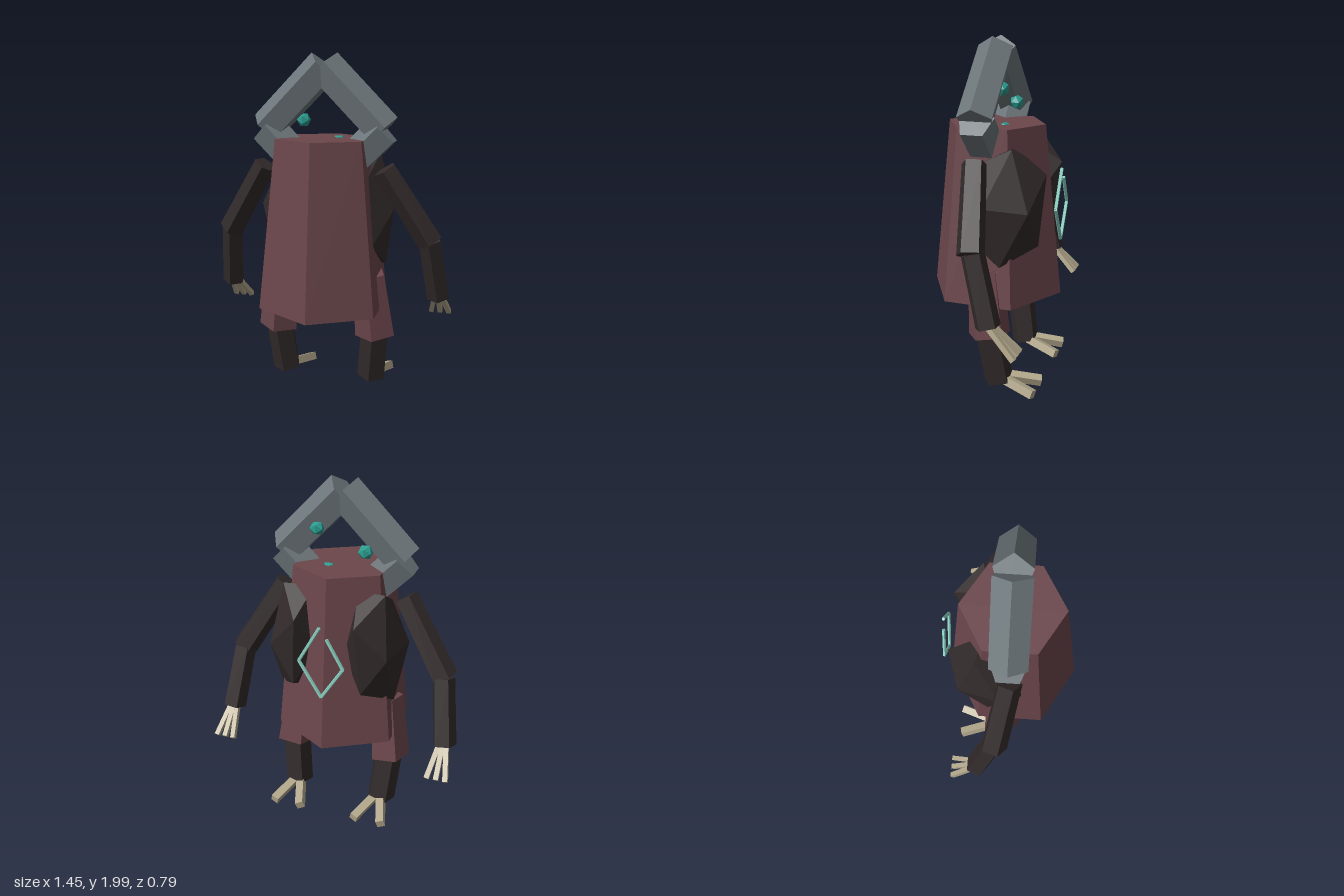
import * as THREE from 'three';

const mat = (name, color) => {
  const m = new THREE.MeshStandardMaterial({ color, flatShading: true });
  m.name = name;
  return m;
};

export function createModel() {
  const maroon = mat('maroon cloth', 0x6b464b);
  const dark = mat('dark hide', 0x322a2a);
  const grey = mat('grey stone', 0x6d767a);
  const bone = mat('bone', 0xb3a88c);
  const teal = mat('teal crystal', 0x2a9d90);
  const mint = mat('pale mint', 0x8ad2c2);

  const model = new THREE.Group();
  model.name = 'hoodedCreature';

  const add = (name, geo, material, parent = model) => {
    const mesh = new THREE.Mesh(geo, material);
    mesh.name = name;
    parent.add(mesh);
    return mesh;
  };

  // Faceted rod from point a (radius ra) to point b (radius rb)
  const rod = (name, a, b, ra, rb, sides, material, parent, spin = 0) => {
    const A = new THREE.Vector3(...a), B = new THREE.Vector3(...b);
    const geo = new THREE.CylinderGeometry(ra, rb, A.distanceTo(B), sides);
    geo.rotateY(spin);
    const mesh = add(name, geo, material, parent);
    mesh.position.copy(A).add(B).multiplyScalar(0.5);
    mesh.quaternion.setFromUnitVectors(new THREE.Vector3(0, 1, 0), A.sub(B).normalize());
    return mesh;
  };

  // Hexagonal robe
  add('robe', new THREE.CylinderGeometry(0.288, 0.395, 0.99, 6), maroon).position.y = 1.03;

  for (const s of [1, -1]) {
    const side = s > 0 ? 'left' : 'right';
    const group = (part) => {
      const g = new THREE.Group();
      g.name = side + part;
      model.add(g);
      return g;
    };

    // Pentagonal beams of the open hood, ridge on the upper side
    const hood = group('Hood');
    rod('hoodRoof', [0, 1.926, 0], [s * 0.345, 1.576, 0], 0.105, 0.105, 5, grey, hood, s * Math.PI / 2);
    rod('hoodJaw', [s * 0.348, 1.576, 0], [s * 0.13, 1.358, 0], 0.105, 0.105, 5, grey, hood, -s * Math.PI / 2);

    // Arm with three splayed fingers
    const arm = group('Arm');
    rod('upperArm', [s * 0.355, 1.36, 0.005], [s * 0.615, 0.94, -0.07], 0.07, 0.078, 5, dark, arm);
    rod('forearm', [s * 0.61, 0.945, -0.08], [s * 0.66, 0.575, -0.18], 0.066, 0.07, 5, dark, arm);
    for (const i of [-1, 0, 1]) {
      rod('finger', [s * 0.655 + i * 0.018, 0.59, -0.18], [s * 0.655 + i * 0.054, 0.435, -0.335],
        0.02, 0.02, 4, bone, arm, Math.PI / 4);
    }

    // Leg with two toes pointing to the rear
    const leg = group('Leg');
    rod('thigh', [s * 0.268, 0.735, -0.02], [s * 0.305, 0.355, -0.06], 0.1, 0.125, 5, maroon, leg);
    rod('shin', [s * 0.3, 0.36, -0.06], [s * 0.272, 0.062, -0.105], 0.087, 0.087, 5, dark, leg);
    for (const i of [-1, 1]) {
      rod('toe', [s * 0.265 + i * 0.01, 0.08, -0.11], [s * 0.258 + i * 0.085, 0.038, -0.335],
        0.034, 0.034, 4, bone, leg, Math.PI / 4);
    }

    // Faceted hump on the back
    const hump = add(side + 'Hump', new THREE.IcosahedronGeometry(1, 0), dark);
    hump.scale.set(0.165, 0.385, 0.235);
    hump.position.set(s * 0.235, 1.1, -0.135);
    hump.rotation.set(-0.1, s * 0.25, s * 0.08);
  }

  // Crystal eyes floating in the hood
  [[-0.145, 1.62, -0.072], [0.13, 1.727, -0.075], [0.068, 1.498, -0.07]].forEach((p) => {
    add('eye', new THREE.IcosahedronGeometry(0.043, 0), teal).position.set(...p);
  });

  // Thin diamond sigil behind the robe, left open near the top
  const sigil = new THREE.Group();
  sigil.name = 'diamondSigil';
  model.add(sigil);
  const points = [[0.005, 1.285], [0.127, 1.075], [0, 0.868], [-0.127, 1.06], [-0.035, 1.225]];
  for (let i = 0; i < 4; i++) {
    rod('sigilBar', [...points[i], -0.387], [...points[i + 1], -0.387], 0.01, 0.01, 5, mint, sigil);
  }

  return model;
}
